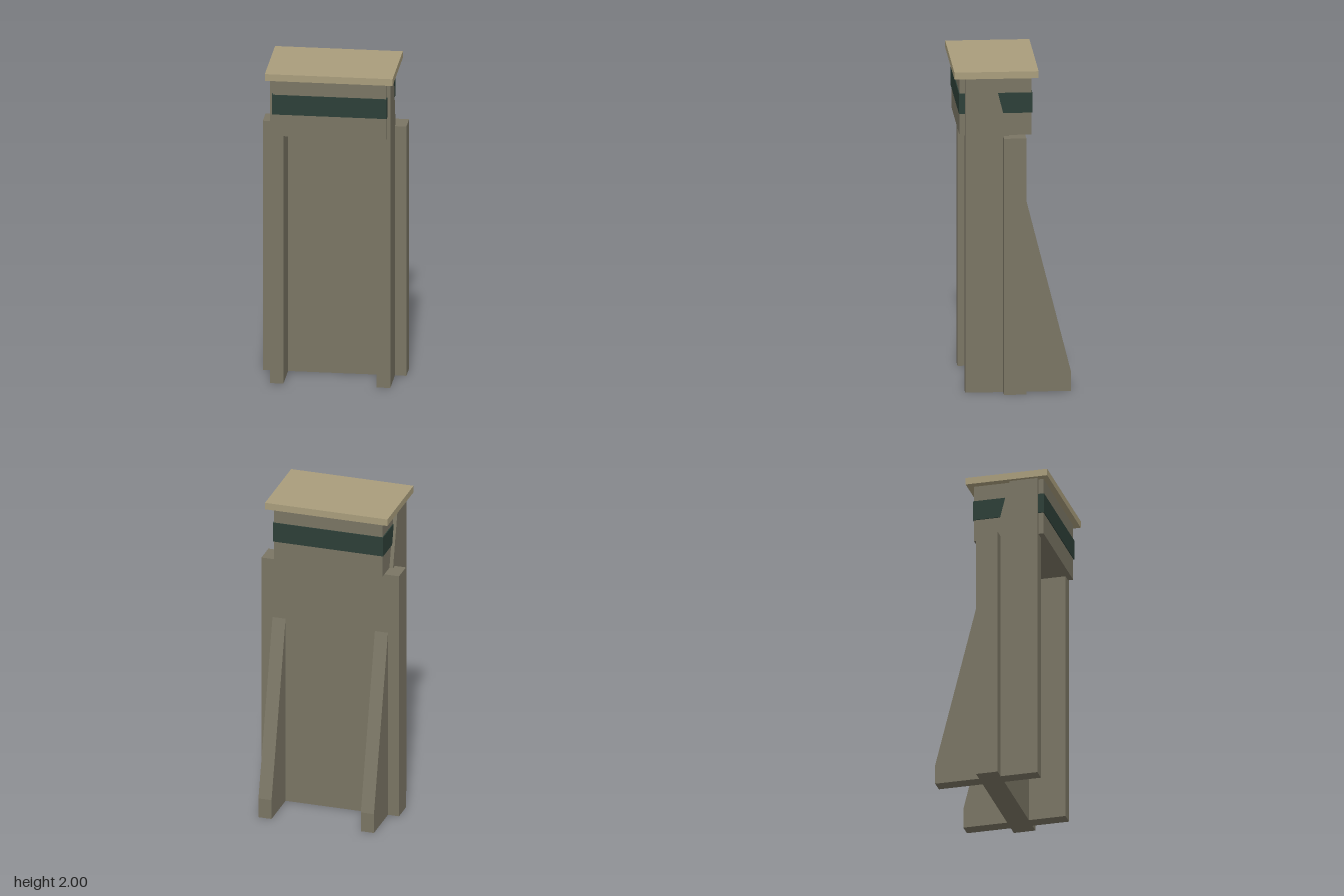
import * as THREE from 'three';

export function createModel() {
  const group = new THREE.Group();
  const material = (name, color) => {
    const m = new THREE.MeshStandardMaterial({ color });
    m.name = name;
    return m;
  };
  const concrete = material('concrete', 0x7a7564);
  const sand = material('sand roof', 0xa99d7c);
  const glass = material('dark glass', 0x2d3f38);

  // Box given by its half width and its y and z limits
  function box(name, halfX, y0, y1, z0, z1, mat) {
    const mesh = new THREE.Mesh(new THREE.BoxGeometry(halfX * 2, y1 - y0, z1 - z0), mat);
    mesh.position.set(0, (y0 + y1) / 2, (z0 + z1) / 2);
    mesh.name = name;
    group.add(mesh);
  }

  // Mirrored pair of upright slabs cut from a [z, y] side profile
  const finInner = 0.283, finOuter = 0.366;
  function finPair(name, profile) {
    const shape = new THREE.Shape(profile.map(([z, y]) => new THREE.Vector2(-z, y)));
    const geometry = new THREE.ExtrudeGeometry(shape, { depth: finOuter - finInner, bevelEnabled: false });
    geometry.rotateY(Math.PI / 2);
    for (const [side, x] of [['left', finInner], ['right', -finOuter]]) {
      const mesh = new THREE.Mesh(geometry, concrete);
      mesh.position.x = x;
      mesh.name = side + name;
      group.add(mesh);
    }
  }

  // Main wall
  box('wall', 0.436, 0, 1.595, -0.079, 0.056, concrete);

  // Front pillars, sloping forward beside the cabin
  finPair('FrontPillar', [[0.285, 0], [0.285, 1.96], [0.112, 1.96], [0.02, 1.595], [0.02, 0]]);

  // Tapered rear buttresses
  finPair('RearButtress', [[-0.07, 0], [-0.07, 1.21], [-0.079, 1.21], [-0.353, 0.125], [-0.353, 0]]);

  // Cabin with a wraparound window band and an overhanging roof
  box('cabin', 0.343, 1.595, 1.96, -0.117, 0.317, concrete);
  box('windowBand', 0.349, 1.733, 1.858, -0.122, 0.322, glass);
  box('roof', 0.388, 1.957, 2, -0.157, 0.352, sand);

  return group;
}
